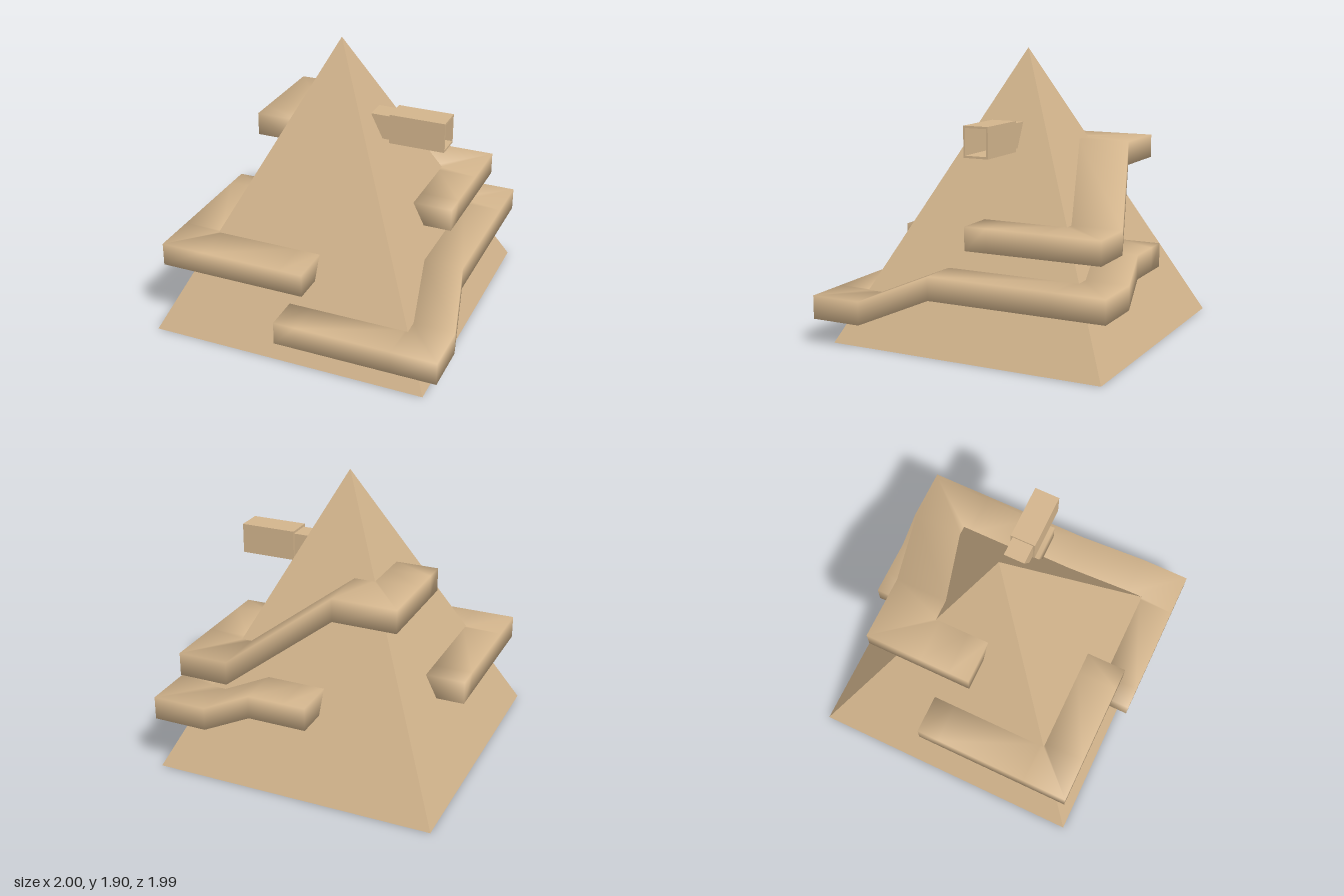
import * as THREE from 'three';

const CX = -0.055, CZ = -0.025, HEIGHT = 1.9, HALF = 0.945;
const LEDGE = 0.155; // ledge thickness

const halfAt = (y) => HALF * (1 - y / HEIGHT);
const clamp = THREE.MathUtils.clamp;

// Walkway swept around the pyramid. Each station is [outer x, outer z, bottom y];
// the inner side follows the sloping wall, just beneath its surface.
function ledgeGeometry(stations) {
  const pos = [], index = [];
  const inner = (x, z, y) => {
    const h = halfAt(y) - 0.008;
    return [clamp(x, CX - h, CX + h), y, clamp(z, CZ - h, CZ + h)];
  };
  const quad = (a, b, c, d) => index.push(a, b, c, a, c, d);
  for (const [x, z, y] of stations) {
    const top = y + LEDGE;
    pos.push(x, y, z, x, top, z, ...inner(x, z, top), ...inner(x, z, y));
  }
  const last = (stations.length - 1) * 4;
  for (let i = 0; i < last; i += 4) {
    for (let k = 0; k < 4; k++) {
      const n = (k + 1) % 4;
      quad(i + k, i + 4 + k, i + 4 + n, i + n);
    }
  }
  quad(0, 1, 2, 3);
  quad(last + 3, last + 2, last + 1, last);
  const g = new THREE.BufferGeometry();
  g.setAttribute('position', new THREE.Float32BufferAttribute(pos, 3));
  g.setIndex(index);
  g.computeVertexNormals(); // shared corners give soft shading
  return g;
}

export function createModel() {
  const model = new THREE.Group();
  const sand = new THREE.MeshStandardMaterial({ color: 0xd2b48c, side: THREE.DoubleSide });
  sand.name = 'sandstone';
  const add = (name, geometry, parent = model) => {
    const mesh = new THREE.Mesh(geometry, sand);
    mesh.name = name;
    parent.add(mesh);
    return mesh;
  };

  // Hollow pyramid, open underneath
  const pyramid = new THREE.ConeGeometry(HALF * Math.SQRT2, HEIGHT, 4, 1, true)
    .rotateY(Math.PI / 4).translate(CX, HEIGHT / 2, CZ).toNonIndexed();
  pyramid.computeVertexNormals();
  add('pyramid', pyramid);

  // Three ledges climbing round the walls
  add('lowerLedge', ledgeGeometry([
    [-0.09, 0.995, 0.18], [0.06, 0.995, 0.18], [0.7, 0.995, 0.18], [1, 0.995, 0.18],
    [1, 0.65, 0.18], [0.893, 0.2, 0.37], [0.893, -0.65, 0.37], [0.893, -0.995, 0.37],
    [0.53, -0.995, 0.37], [0.24, -0.935, 0.49], [0, -0.935, 0.49], [-0.15, -0.935, 0.49],
  ]));
  add('middleLedge', ledgeGeometry([
    [-0.94, -0.22, 0.495], [-0.94, -0.07, 0.495], [-0.94, 0.57, 0.495], [-0.94, 0.875, 0.495],
    [-0.65, 0.875, 0.495], [-0.1, 0.875, 0.495], [0.055, 0.875, 0.495],
  ]));
  add('upperLedge', ledgeGeometry([
    [0.743, 0.02, 0.675], [0.743, -0.13, 0.675], [0.743, -0.5, 0.675], [0.743, -0.9, 0.675],
    [0.41, -0.9, 0.675], [-0.22, -0.68, 1.135], [-0.645, -0.68, 1.135],
    [-0.645, -0.3, 1.135], [-0.645, -0.1, 1.135], [-0.645, 0.04, 1.135],
  ]));

  // Square spout: neck trimmed to the wall, then an open-ended box
  const spout = new THREE.Group();
  spout.name = 'spout';
  spout.position.set(0, 1.35, -0.032);
  model.add(spout);

  const neck = new THREE.BoxGeometry(0.14, 0.165, 0.145).translate(0.245, 0, 0);
  const p = neck.attributes.position;
  for (let i = 0; i < p.count; i++) {
    if (p.getX(i) < 0.2) p.setX(i, p.getY(i) > 0 ? 0.172 : 0.25);
  }
  neck.computeVertexNormals();
  add('spoutNeck', neck, spout);

  const rect = (Type, w, h) => new Type([[-w, -h], [w, -h], [w, h], [-w, h]]
    .map(([x, y]) => new THREE.Vector2(x, y)));
  const frame = rect(THREE.Shape, 0.086, 0.1);
  frame.holes.push(rect(THREE.Path, 0.074, 0.086));
  add('spoutBox', new THREE.ExtrudeGeometry(frame, { depth: 0.375, bevelEnabled: false })
    .rotateY(Math.PI / 2).translate(0.31, 0, 0), spout);
  add('spoutBack', new THREE.BoxGeometry(0.008, 0.19, 0.16).translate(0.316, 0, 0), spout);

  return model;
}
